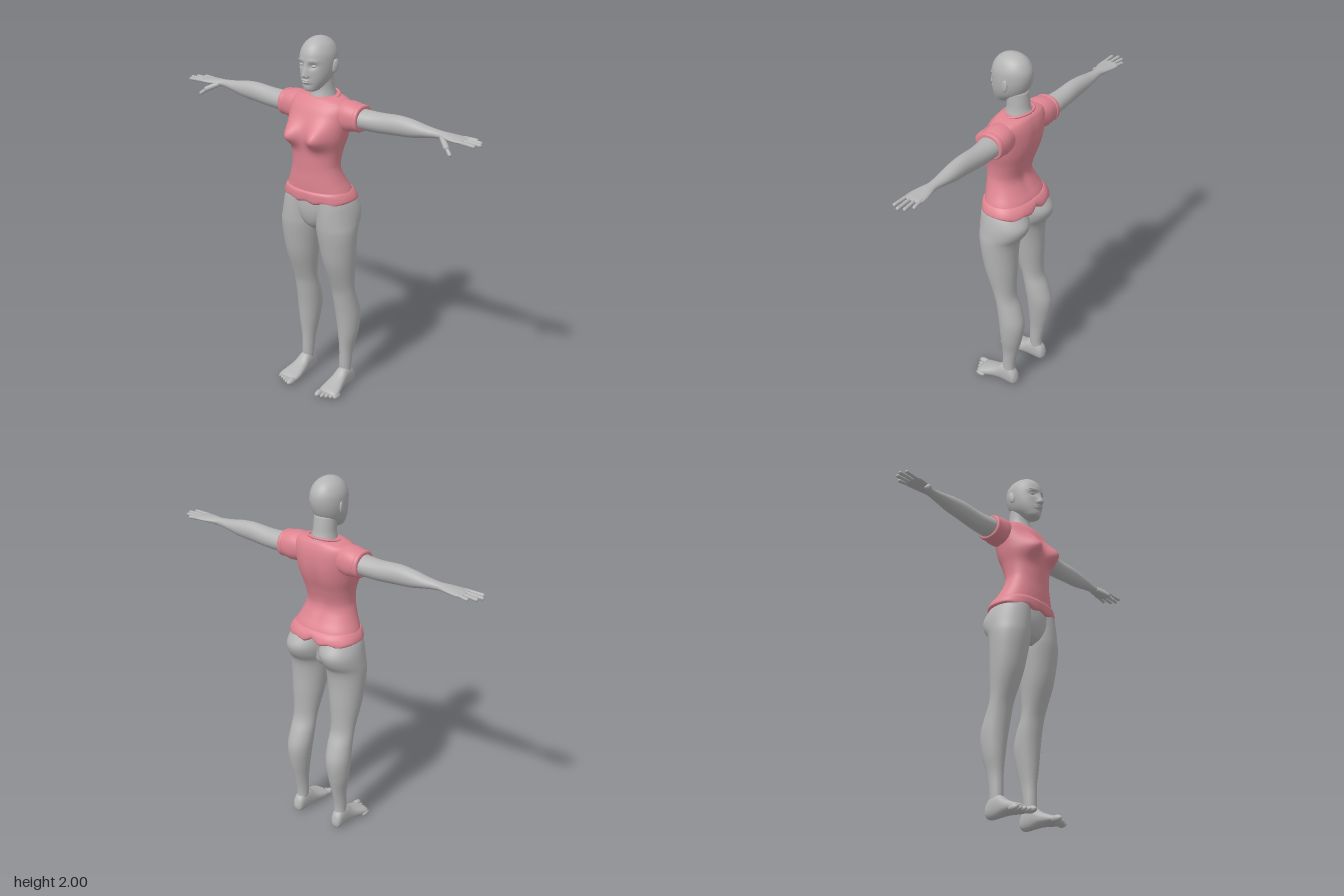
import * as THREE from 'three';

const skin = new THREE.MeshStandardMaterial({ color: 0xb4b4b4 });
skin.name = 'grey skin';
const cloth = new THREE.MeshStandardMaterial({ color: 0xde8591 });
cloth.name = 'pink cloth';

const bump = (d, w) => Math.exp(-(d * d) / (w * w));
const sym = (y, r, zBack, zFront) => [y, -r, r, zBack, zFront];

// Smooth curve through rows of [t, aMin, aMax, bMin, bMax]
function sampleRows(rows, steps) {
  const slope = (i, k) => {
    const p = rows[Math.max(i - 1, 0)], n = rows[Math.min(i + 1, rows.length - 1)];
    return (n[k] - p[k]) / (n[0] - p[0]);
  };
  const out = [];
  for (let i = 0; i < rows.length - 1; i++) {
    const A = rows[i], B = rows[i + 1], h = B[0] - A[0];
    for (let s = 0; s < steps; s++) {
      const u = s / steps, u2 = u * u, u3 = u2 * u;
      out.push(A.map((a, k) => k === 0 ? a + h * u
        : (2 * u3 - 3 * u2 + 1) * a + (u3 - 2 * u2 + u) * h * slope(i, k)
        + (3 * u2 - 2 * u3) * B[k] + (u3 - u2) * h * slope(i + 1, k)));
    }
  }
  out.push(rows[rows.length - 1]);
  return out;
}

// Oval sections along an axis: y rows use x,z; x rows use z,y; z rows use y,x
function loft(rows, { axis = 'y', segs = 32, steps = 4, power = 2, warp } = {}) {
  const pos = [], idx = [], rings = sampleRows(rows, steps);
  const v = new THREE.Vector3();
  const put = (a, t, b) => {
    if (axis === 'y') v.set(a, t, b);
    else if (axis === 'x') v.set(t, b, a);
    else v.set(b, a, t);
    if (warp) warp(v);
    pos.push(v.x, v.y, v.z);
  };
  const soft = c => Math.sign(c) * Math.abs(c) ** (2 / power);
  for (const [t, a0, a1, b0, b1] of rings)
    for (let j = 0; j < segs; j++) {
      const q = j / segs * Math.PI * 2;
      put((a0 + a1) / 2 + (a1 - a0) / 2 * soft(Math.cos(q)), t,
        (b0 + b1) / 2 + (b1 - b0) / 2 * soft(Math.sin(q)));
    }
  const last = (rings.length - 1) * segs, cap = rings.length * segs;
  for (const [t, a0, a1, b0, b1] of [rings[0], rings[rings.length - 1]])
    put((a0 + a1) / 2, t, (b0 + b1) / 2);
  for (let j = 0; j < segs; j++) {
    const k = (j + 1) % segs;
    for (let i = 0; i < last; i += segs)
      idx.push(i + j, i + segs + j, i + k, i + k, i + segs + j, i + segs + k);
    idx.push(cap, j, k, cap + 1, last + k, last + j);
  }
  const g = new THREE.BufferGeometry();
  g.setAttribute('position', new THREE.Float32BufferAttribute(pos, 3));
  g.setIndex(idx);
  g.computeVertexNormals();
  return g;
}

function blob(x, y, z, rx, ry, rz) {
  return new THREE.SphereGeometry(1, 20, 14).scale(rx, ry, rz).translate(x, y, z);
}

// Rounded rod between two points
function rod(p, q, r) {
  const a = new THREE.Vector3(...p), d = new THREE.Vector3(...q).sub(a);
  const g = new THREE.CapsuleGeometry(r, d.length(), 5, 12);
  g.applyQuaternion(new THREE.Quaternion().setFromUnitVectors(
    new THREE.Vector3(0, 1, 0), d.clone().normalize()));
  return g.translate(...a.addScaledVector(d, 0.5).toArray());
}

function mirrored(g) {
  const m = g.clone().scale(-1, 1, 1), i = m.index.array;
  for (let k = 0; k < i.length; k += 3) [i[k], i[k + 1]] = [i[k + 1], i[k]];
  m.computeVertexNormals();
  return m;
}

export function createModel() {
  const model = new THREE.Group();
  model.name = 'figure';
  const add = (name, geo, mat = skin) => {
    const m = new THREE.Mesh(geo, mat);
    m.name = name;
    model.add(m);
  };
  const pair = (name, geo, mat) => {
    add(name + 'Left', geo, mat);
    add(name + 'Right', mirrored(geo), mat);
  };

  // Head with brow, sockets, nose, lips and chin pushed out of the oval
  add('head', loft([
    sym(1.728, 0.022, 0.025, 0.075), sym(1.736, 0.037, 0.01, 0.093), sym(1.755, 0.052, -0.025, 0.1),
    sym(1.78, 0.068, -0.065, 0.103), sym(1.81, 0.08, -0.09, 0.104), sym(1.85, 0.088, -0.108, 0.104),
    sym(1.89, 0.09, -0.116, 0.105), sym(1.925, 0.086, -0.113, 0.1), sym(1.96, 0.07, -0.095, 0.081),
    sym(1.982, 0.049, -0.07, 0.056), sym(1.995, 0.026, -0.04, 0.028), sym(2, 0.004, -0.01, 0),
  ], {
    segs: 72, steps: 6, warp: v => {
      if (v.z < 0.03) return;
      const x = Math.abs(v.x), y = v.y;
      const ramp = THREE.MathUtils.clamp((1.885 - y) / 0.07, 0, 1);
      const noseCut = THREE.MathUtils.smoothstep(y, 1.803, 1.815);
      v.z += 0.028 * ramp * noseCut * bump(x, 0.009 + 0.008 * ramp)
        - 0.012 * bump(x - 0.036, 0.02) * bump(y - 1.866, 0.014)
        + 0.004 * bump(x - 0.035, 0.03) * bump(y - 1.892, 0.01)
        + 0.008 * bump(x, 0.022) * bump(y - 1.787, 0.014)
        - 0.004 * bump(x, 0.03) * bump(y - 1.768, 0.007);
    },
  }));
  pair('eye', blob(0.036, 1.866, 0.084, 0.016, 0.008, 0.009));
  pair('eyebrow', rod([0.018, 1.888, 0.103], [0.056, 1.891, 0.085], 0.003));
  pair('nostril', blob(0.011, 1.815, 0.112, 0.008, 0.007, 0.009));
  add('upperLip', blob(0, 1.793, 0.108, 0.022, 0.005, 0.008));
  add('lowerLip', blob(0, 1.783, 0.107, 0.018, 0.006, 0.008));
  pair('ear', blob(0, 0, 0, 0.009, 0.036, 0.02).rotateX(-0.2).rotateY(-0.3).translate(0.092, 1.856, -0.022));

  add('neck', loft([
    sym(1.62, 0.09, -0.12, 0.04), sym(1.68, 0.071, -0.115, 0.028), sym(1.72, 0.062, -0.103, 0.019),
    sym(1.76, 0.06, -0.097, 0.02), sym(1.81, 0.06, -0.09, 0.03),
  ]));

  // Shirt body with bust and a shallow groove down the back
  add('shirtBody', loft([
    sym(1.17, 0.19, -0.14, 0.108), sym(1.2, 0.183, -0.138, 0.11), sym(1.25, 0.16, -0.11, 0.112),
    sym(1.3, 0.142, -0.087, 0.112), sym(1.34, 0.135, -0.085, 0.114), sym(1.41, 0.142, -0.105, 0.118),
    sym(1.48, 0.16, -0.13, 0.125), sym(1.54, 0.17, -0.143, 0.118), sym(1.6, 0.178, -0.145, 0.095),
    sym(1.64, 0.178, -0.14, 0.075), sym(1.67, 0.158, -0.13, 0.05), sym(1.685, 0.115, -0.12, 0.035),
    sym(1.692, 0.08, -0.105, 0.015),
  ], {
    segs: 64, steps: 6, power: 2.2, warp: v => {
      if (v.z > 0) v.z += 0.062 * bump(Math.abs(v.x) - 0.083, 0.052)
        * bump(v.y - 1.495, v.y < 1.495 ? 0.05 : 0.065);
      else v.z += 0.012 * bump(v.x, 0.03) * bump(v.y - 1.42, 0.16);
    },
  }), cloth);

  // Hem band with a wavy lower edge
  add('shirtHem', loft([
    sym(1.135, 0.196, -0.157, 0.106), sym(1.145, 0.207, -0.168, 0.115), sym(1.17, 0.201, -0.163, 0.118),
    sym(1.19, 0.19, -0.15, 0.117), sym(1.2, 0.181, -0.137, 0.109),
  ], {
    segs: 64, power: 2.4, warp: v => {
      const low = (1.2 - v.y) / 0.065;
      v.y += low * (0.006 * Math.cos(v.x * 62) + (v.z < 0 ? 0.014 * bump(v.x, 0.025) : 0));
      if (v.z < 0) v.z += 0.015 * low * bump(v.x, 0.03);
    },
  }), cloth);
  add('collar', new THREE.TorusGeometry(1, 0.1, 10, 40).rotateX(Math.PI / 2)
    .scale(0.088, 0.07, 0.073).rotateX(0.2).translate(0, 1.688, -0.042), cloth);

  // Sleeves and cuffs
  pair('sleeve', loft([
    [0.1, -0.11, 0.03, 1.54, 1.675], [0.17, -0.122, 0.034, 1.525, 1.681],
    [0.21, -0.121, 0.029, 1.53, 1.676], [0.25, -0.117, 0.023, 1.538, 1.664],
  ], { axis: 'x', power: 2.3 }), cloth);
  pair('sleeveCuff', loft([
    [0.228, -0.119, 0.026, 1.536, 1.668], [0.234, -0.123, 0.028, 1.532, 1.672],
    [0.25, -0.121, 0.026, 1.534, 1.67], [0.255, -0.115, 0.02, 1.54, 1.662],
  ], { axis: 'x', power: 2.3 }), cloth);

  // Arms running into the palms
  pair('arm', loft([
    [0.15, -0.11, 0.02, 1.54, 1.665], [0.25, -0.11, 0.014, 1.546, 1.653], [0.35, -0.105, -0.002, 1.547, 1.652],
    [0.465, -0.1, -0.01, 1.556, 1.66], [0.55, -0.098, -0.015, 1.564, 1.653], [0.62, -0.093, -0.022, 1.579, 1.64],
    [0.7, -0.085, -0.032, 1.592, 1.631], [0.75, -0.095, -0.017, 1.594, 1.628], [0.8, -0.105, -0.007, 1.598, 1.623],
    [0.835, -0.106, -0.008, 1.601, 1.621], [0.85, -0.09, -0.02, 1.606, 1.617],
  ], { axis: 'x' }));
  const fingers = [[-0.093, -0.102, 0.88], [-0.069, -0.077, 0.917], [-0.045, -0.047, 0.931], [-0.02, -0.015, 0.915]];
  fingers.forEach(([z0, z1, tip], i) =>
    pair('finger' + (i + 1), rod([0.82, 1.611, z0], [tip, 1.608, z1], 0.0095)));
  pair('thumbBase', rod([0.73, 1.605, -0.035], [0.778, 1.578, 0.005], 0.015));
  pair('thumb', rod([0.775, 1.58, 0.003], [0.808, 1.553, 0.02], 0.01));

  // Hips and legs
  add('pelvis', loft([
    sym(0.965, 0.03, -0.06, 0.045), sym(1, 0.085, -0.09, 0.08), sym(1.06, 0.14, -0.1, 0.1),
    sym(1.12, 0.17, -0.115, 0.104), sym(1.18, 0.17, -0.11, 0.1),
  ]));
  pair('leg', loft([
    [0.04, 0.105, 0.165, -0.125, -0.045], [0.12, 0.1, 0.165, -0.112, -0.04], [0.23, 0.095, 0.17, -0.132, -0.04],
    [0.33, 0.08, 0.19, -0.157, -0.033], [0.44, 0.065, 0.2, -0.17, -0.023], [0.53, 0.06, 0.198, -0.145, -0.01],
    [0.6, 0.06, 0.197, -0.115, 0.002], [0.66, 0.055, 0.2, -0.108, 0.022], [0.78, 0.035, 0.215, -0.11, 0.065],
    [0.9, 0.018, 0.225, -0.112, 0.09], [0.98, 0.006, 0.228, -0.125, 0.102], [1.03, 0, 0.224, -0.16, 0.104],
    [1.08, -0.002, 0.217, -0.175, 0.104], [1.13, 0, 0.203, -0.152, 0.102], [1.18, 0.01, 0.178, -0.12, 0.098],
  ], { segs: 40 }));

  // Feet and toes
  pair('foot', loft([
    [-0.136, 0.025, 0.05, 0.125, 0.145], [-0.125, 0.006, 0.085, 0.107, 0.163], [-0.09, 0, 0.12, 0.1, 0.169],
    [-0.045, 0.003, 0.118, 0.096, 0.172], [0, 0.006, 0.085, 0.09, 0.18], [0.06, 0.002, 0.058, 0.082, 0.197],
    [0.095, 0.003, 0.045, 0.083, 0.2], [0.112, 0.01, 0.034, 0.09, 0.185],
  ], { axis: 'z', power: 2.3 }));
  for (let i = 0; i < 5; i++)
    pair('toe' + (i + 1), blob(0.1 + i * 0.0225 + (i ? 0.004 : 0), i ? 0.016 : 0.02, 0.118 - i * 0.009,
      i ? 0.0125 : 0.018, i ? 0.015 : 0.019, 0.037 - i * 0.002));

  return model;
}
